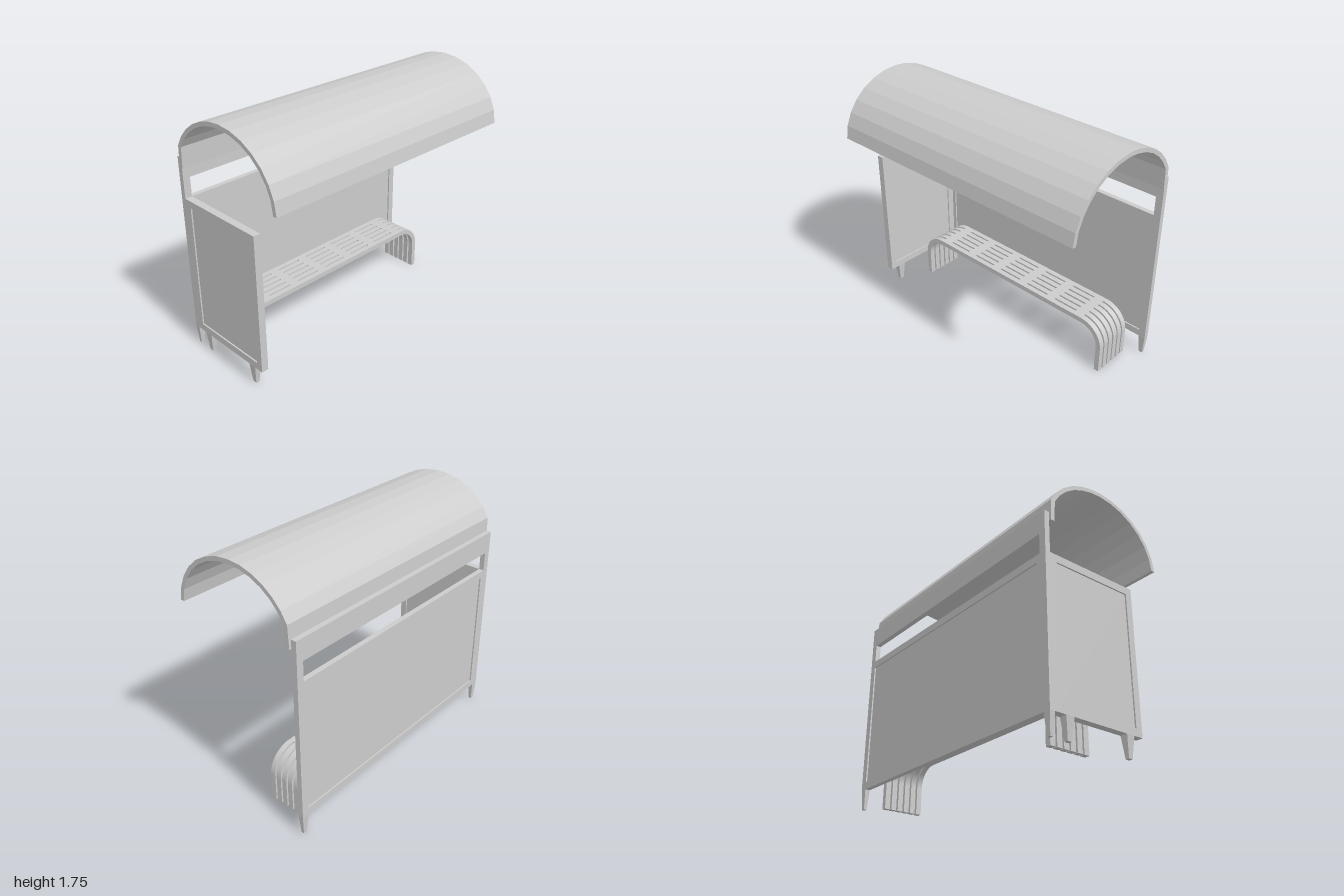
import * as THREE from 'three';

const material = new THREE.MeshStandardMaterial({ color: 0xcccccc, flatShading: true });

function add(parent, name, geometry, x = 0, y = 0, z = 0) {
  const mesh = new THREE.Mesh(geometry, material);
  mesh.name = name;
  mesh.position.set(x, y, z);
  parent.add(mesh);
  return mesh;
}

const rect = (Type, a0, y0, a1, y1) => new Type([[a0, y0], [a1, y0], [a1, y1], [a0, y1]]
  .map(([a, y]) => new THREE.Vector2(a, y)));

const extrude = (shape, depth) =>
  new THREE.ExtrudeGeometry(shape, { depth, bevelEnabled: false, curveSegments: 8 });

// Extrude a (z, y) outline along x, from x0 to x1
const extrudeX = (shape, x0, x1) =>
  extrude(shape, x1 - x0).rotateY(-Math.PI / 2).translate(x1, 0, 0);

// Square leg tapering towards the floor
function taperedLeg(topX, topZ, bottomX, bottomZ, height) {
  const g = new THREE.BoxGeometry(topX, height, topZ).translate(0, height / 2, 0);
  const p = g.attributes.position;
  for (let i = 0; i < p.count; i++) {
    if (p.getY(i) < height / 2) p.setXYZ(i, p.getX(i) * bottomX / topX, 0, p.getZ(i) * bottomZ / topZ);
  }
  return g;
}

// Arched roof: elliptical shell with a short upright lip on the wall side
function buildRoof() {
  const arc = (rx, ry, lipX) => {
    const pts = [];
    const start = 0.047, end = Math.PI - Math.acos(lipX / rx);
    for (let i = 0; i <= 7; i++) {
      const a = start + (Math.PI / 2 - start) * i / 7;
      pts.push(new THREE.Vector2(rx * Math.cos(a), 1.32 + ry * Math.sin(a)));
    }
    for (let i = 1; i <= 6; i++) {
      const a = Math.PI / 2 + (end - Math.PI / 2) * i / 6;
      pts.push(new THREE.Vector2(rx * Math.cos(a), 1.32 + ry * Math.sin(a)));
    }
    pts.push(new THREE.Vector2(-lipX - 0.008, 1.345));
    return pts;
  };
  const outline = [...arc(0.473, 0.426, 0.431), ...arc(0.445, 0.398, 0.402).reverse()];
  return extrude(new THREE.Shape(outline), 2).translate(0, 0, -1);
}

// Bench outline in (z, y): flat top bending down to the floor at both ends
function benchShape() {
  const s = new THREE.Shape();
  const zo = 0.865, t = 0.036, zc = 0.69, yc = 0.195, r = 0.175;
  s.moveTo(zo, 0);
  s.lineTo(zo, yc);
  s.absarc(zc, yc, r, 0, Math.PI / 2, false);
  s.lineTo(-zc, yc + r);
  s.absarc(-zc, yc, r, Math.PI / 2, Math.PI, false);
  s.lineTo(-zo, 0);
  s.lineTo(-zo + t, 0);
  s.lineTo(-zo + t, yc);
  s.absarc(-zc, yc, r - t, Math.PI, Math.PI / 2, true);
  s.lineTo(zc, yc + r - t);
  s.absarc(zc, yc, r - t, Math.PI / 2, 0, true);
  s.lineTo(zo - t, 0);
  s.closePath();
  return s;
}

function buildBench() {
  const bench = new THREE.Group();
  bench.name = 'bench';
  const slat = 0.038, pitch = 0.0505, x0 = -0.37;
  const shape = benchShape();
  for (let i = 0; i < 6; i++) {
    const x = x0 + i * pitch;
    add(bench, 'benchSlat', extrudeX(shape, x, x + slat));
    if (i === 5) continue;
    // Bridges between the slats leave five rows of slots along the seat
    for (let j = 0; j < 6; j++) {
      add(bench, 'slatBridge', new THREE.BoxGeometry(pitch - slat, 0.036, 0.07),
        x + (slat + pitch) / 2, 0.352, -0.65 + j * 0.26);
    }
  }
  return bench;
}

export function createModel() {
  const model = new THREE.Group();
  model.name = 'shelter';

  add(model, 'roof', buildRoof());

  // Back wall frame with an open window strip above a recessed panel
  const wall = rect(THREE.Shape, -0.985, 0.14, 0.985, 1.405);
  wall.holes.push(rect(THREE.Path, -0.935, 1.125, 0.935, 1.26));
  wall.holes.push(rect(THREE.Path, -0.935, 0.19, 0.905, 1.075));
  add(model, 'wallFrame', extrudeX(wall, -0.476, -0.44));
  add(model, 'wallPanel', new THREE.BoxGeometry(0.016, 0.885, 1.84), -0.458, 0.6325, -0.015);

  // Single end screen at the front
  const screen = rect(THREE.Shape, -0.44, 0.14, 0.237, 1.125);
  screen.holes.push(rect(THREE.Path, -0.39, 0.19, 0.19, 1.075));
  add(model, 'endScreenFrame', extrude(screen, 0.05), 0, 0, 0.935);
  add(model, 'endScreenPanel', new THREE.BoxGeometry(0.58, 0.885, 0.03), -0.1, 0.6325, 0.96);

  // Legs under the wall ends and the end screen
  for (const z of [-0.96, 0.96]) {
    add(model, 'wallLeg', taperedLeg(0.036, 0.05, 0.02, 0.026, 0.14), -0.458, 0, z);
  }
  for (const x of [-0.33, 0.137]) {
    add(model, 'screenLeg', taperedLeg(0.06, 0.05, 0.03, 0.026, 0.14), x, 0, 0.96);
  }

  model.add(buildBench());
  return model;
}
